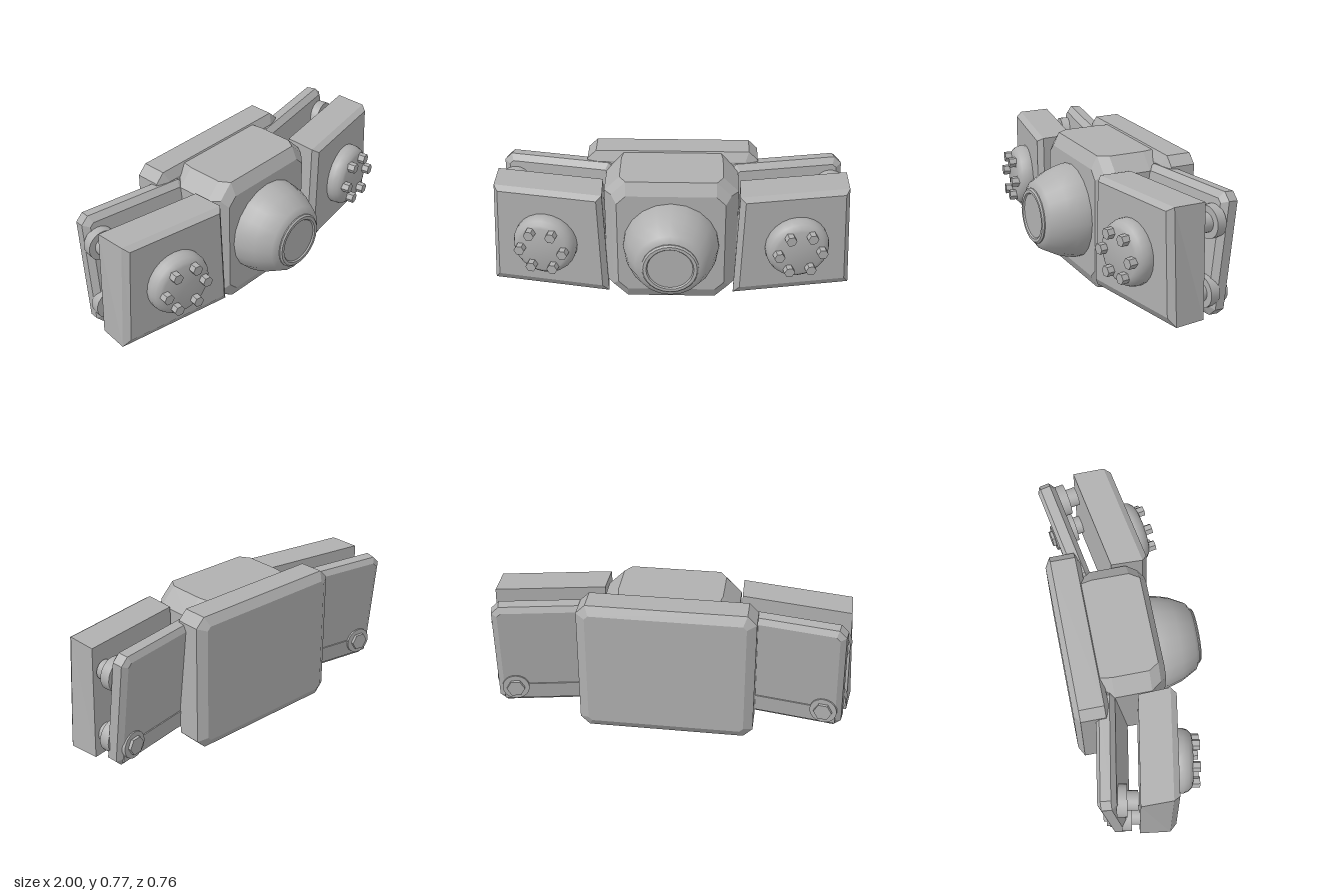
import * as THREE from 'three';
import { toCreasedNormals } from 'three/addons/utils/BufferGeometryUtils.js';

const MID = 0.384; // shared centre height

export function createModel() {
  const grey = new THREE.MeshStandardMaterial({ color: 0xb0b0b0 });
  grey.name = 'grey metal';
  const model = new THREE.Group();
  model.name = 'buckle';

  const add = (parent, name, geometry, x = 0, y = 0, z = 0) => {
    const mesh = new THREE.Mesh(geometry, grey);
    mesh.name = name;
    mesh.position.set(x, y, z);
    parent.add(mesh);
    return mesh;
  };

  // Faceted solid through matching counter-clockwise loops, ordered by rising z
  const loft = (loops) => {
    const pos = [];
    const tri = (...corners) => corners.forEach((c) => pos.push(...c));
    const n = loops[0].length;
    for (let k = 0; k < loops.length - 1; k++) {
      for (let i = 0; i < n; i++) {
        const j = (i + 1) % n, lo = loops[k], hi = loops[k + 1];
        tri(lo[i], lo[j], hi[j]);
        tri(lo[i], hi[j], hi[i]);
      }
    }
    const back = loops[0], front = loops[loops.length - 1];
    for (let i = 1; i < n - 1; i++) {
      tri(back[0], back[i + 1], back[i]);
      tri(front[0], front[i], front[i + 1]);
    }
    const g = new THREE.BufferGeometry();
    g.setAttribute('position', new THREE.Float32BufferAttribute(pos, 3));
    g.computeVertexNormals();
    return g;
  };

  // Rectangle with cut corners
  const octagon = ([z, w, h, c]) => [
    [w, c - h, z], [w, h - c, z], [w - c, h, z], [c - w, h, z],
    [-w, h - c, z], [-w, c - h, z], [c - w, -h, z], [w - c, -h, z],
  ];

  // Trapezoid given by bottom and top edges, mirrored for the other side
  const trapezoid = (s, [z, y0, in0, out0, y1, in1, out1]) => {
    const p = [[in0, y0], [out0, y0], [out1, y1], [in1, y1]].map(([x, y]) => [s * x, y, z]);
    return s > 0 ? p : p.reverse();
  };

  // Round part turned around the z axis, profile as [radius, z]
  const turned = (profile, sides) => toCreasedNormals(
    new THREE.LatheGeometry(profile.map((p) => new THREE.Vector2(...p)), sides).rotateX(Math.PI / 2), 0.65);

  const disc = (r, depth, sides = 24) => toCreasedNormals(
    new THREE.CylinderGeometry(r, r, depth, sides).rotateY(Math.PI / 6).rotateX(Math.PI / 2), 0.65);

  // Back plate
  add(model, 'backPlate', loft([
    [-0.38, 0.425, 0.335, 0.02], [-0.35, 0.475, 0.383, 0.05],
    [-0.215, 0.475, 0.383, 0.05], [-0.19, 0.425, 0.33, 0.02],
  ].map(octagon)), 0, MID, 0);

  // Centre block
  add(model, 'centreBlock', loft([
    [-0.21, 0.31, 0.375, 0.04], [-0.15, 0.365, 0.375, 0.085],
    [0.05, 0.365, 0.375, 0.085], [0.105, 0.325, 0.375, 0.08], [0.14, 0.295, 0.305, 0.05],
  ].map(octagon)), 0, MID, 0);

  // Centre dome with a rimmed cap
  add(model, 'centreDome', turned([
    [0, 0.13], [0.262, 0.13], [0.262, 0.165], [0.252, 0.21], [0.236, 0.26],
    [0.19, 0.345], [0.155, 0.366], [0, 0.366],
  ], 20), 0, MID, 0);
  add(model, 'domeCap', turned([
    [0, 0.35], [0.154, 0.35], [0.154, 0.372], [0.145, 0.38], [0.128, 0.38], [0.122, 0.372], [0, 0.372],
  ], 24), 0, MID, 0);

  // Side wings, swept back
  for (const s of [1, -1]) {
    const wing = new THREE.Group();
    wing.name = s > 0 ? 'leftWing' : 'rightWing';
    wing.position.set(s * 0.68, MID, 0);
    wing.rotation.y = s * THREE.MathUtils.degToRad(10);
    model.add(wing);

    add(wing, 'wingBlock', loft([
      [-0.08, -0.309, -0.31, 0.315, 0.311, -0.295, 0.3],
      [0.09, -0.309, -0.355, 0.309, 0.311, -0.33, 0.272],
      [0.122, -0.26, -0.325, 0.275, 0.29, -0.305, 0.245],
    ].map((row) => trapezoid(s, row))));

    // Round boss with a ring of hex bolts
    add(wing, 'boss', turned([
      [0, 0.1], [0.165, 0.1], [0.176, 0.12], [0.176, 0.155], [0.166, 0.182],
      [0.148, 0.2], [0.132, 0.206], [0, 0.206],
    ], 24), -s * 0.015);
    for (let i = 0; i < 6; i++) {
      const a = (i * Math.PI) / 3;
      add(wing, 'bossBolt', disc(0.03, 0.05, 6),
        -s * 0.015 + 0.12 * Math.cos(a), 0.117 * Math.sin(a), 0.219);
    }

    // Leaning rear plate with a raised lower strip
    const rear = new THREE.Group();
    rear.name = 'rearPlate';
    rear.position.set(-s * 0.01, 0, -0.218);
    rear.rotation.x = -THREE.MathUtils.degToRad(6.5);
    wing.add(rear);
    add(rear, 'rearPanel', loft([
      [-0.05, 0.29, 0.295, 0.02], [-0.03, 0.32, 0.325, 0.04],
      [0.025, 0.32, 0.325, 0.04], [0.05, 0.285, 0.29, 0.02],
    ].map(octagon)));
    add(rear, 'rearStrip', new THREE.BoxGeometry(0.58, 0.1, 0.009), 0, -0.245, -0.0515);

    // Spacers between block and rear plate
    for (const [y, z] of [[0.174, -0.175], [-0.194, -0.15]]) {
      add(wing, 'spacerWasher', disc(0.087, 0.055), s * 0.235, y, z);
      add(wing, 'spacerPin', disc(0.052, 0.09), s * 0.235, y, z + 0.04);
    }

    // Rear corner bolt
    add(wing, 'rearWasher', disc(0.074, 0.04), s * 0.215, -0.215, -0.24);
    add(wing, 'rearBolt', disc(0.05, 0.03, 6), s * 0.215, -0.215, -0.262);
  }
  return model;
}
